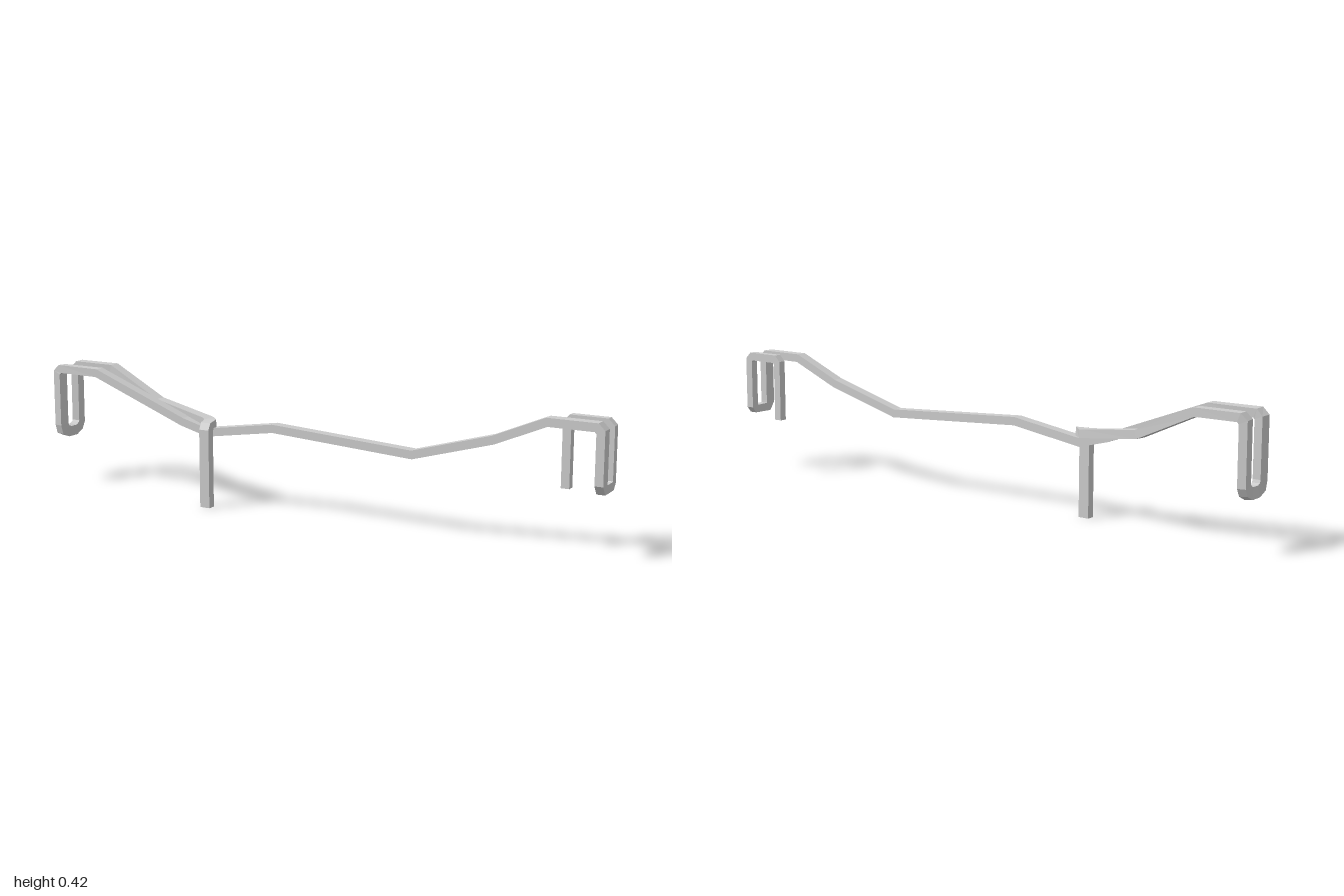
import * as THREE from 'three';

const V = (x, y, z) => new THREE.Vector3(x, y, z);
const THICK = 0.027, WIDE = 0.036;

// Sweeps a rectangular bar along points [x, y, z, width?] with mitred joints.
// "wide" is the direction of the wider side on the first segment.
function barGeometry(path, wide) {
  const p = path.map(([x, y, z]) => V(x, y, z));
  const dirs = p.slice(1).map((q, i) => q.clone().sub(p[i]).normalize());

  // Carry the wide axis through each bend, keeping gently sloped runs level
  const axes = [wide];
  for (let i = 1; i < dirs.length; i++) {
    const d = dirs[i];
    const turn = new THREE.Quaternion().setFromUnitVectors(dirs[i - 1], d);
    let u = axes[i - 1].clone().applyQuaternion(turn);
    if (Math.abs(u.y) < 0.3 && Math.abs(d.y) < 0.6) {
      const level = V(d.z, 0, -d.x).normalize();
      u = level.multiplyScalar(Math.sign(level.dot(u)));
    }
    axes.push(u);
  }

  // One ring of four corners at each point, lying in the mitre plane
  const rings = p.map((point, i) => {
    const a = Math.max(i - 1, 0), b = Math.min(i, dirs.length - 1);
    const normal = dirs[a].clone().add(dirs[b]).normalize();
    const w = (path[i][3] ?? WIDE) / 2, t = THICK / 2;
    return [[-1, -1], [1, -1], [1, 1], [-1, 1]].map(([s, r]) => {
      const corner = V(0, 0, 0);
      for (const k of [a, b]) {
        const v = dirs[k].clone().cross(axes[k]);
        const off = axes[k].clone().multiplyScalar(s * w).addScaledVector(v, r * t);
        off.addScaledVector(dirs[k], -off.dot(normal) / dirs[k].dot(normal));
        corner.addScaledVector(off, 0.5);
      }
      return corner.add(point);
    });
  });

  const pos = [];
  const quad = (a, b, c, d) => [a, b, c, a, c, d].forEach(q => pos.push(q.x, q.y, q.z));
  for (let i = 0; i + 1 < rings.length; i++) {
    for (let k = 0; k < 4; k++) {
      const n = (k + 1) % 4;
      quad(rings[i][k], rings[i][n], rings[i + 1][n], rings[i + 1][k]);
    }
  }
  const [s, e] = [rings[0], rings[rings.length - 1]];
  quad(s[3], s[2], s[1], s[0]);
  quad(e[0], e[1], e[2], e[3]);
  const geo = new THREE.BufferGeometry();
  geo.setAttribute('position', new THREE.Float32BufferAttribute(pos, 3));
  geo.computeVertexNormals();
  return geo;
}

export function createModel() {
  const group = new THREE.Group();
  group.name = 'bentBar';

  // Upright leg, hooking over into the rear arm
  const leg = [
    [-0.363, 0, 0.0665], [-0.363, 0.258, 0.0665], [-0.363, 0.272, 0.059],
    [-0.363, 0.277, 0.04], [-0.388, 0.278, 0.017],
  ];
  const rearArm = [
    [-0.62, 0.311, -0.036], [-0.83, 0.405, -0.065], [-0.974, 0.405, -0.065],
    [-0.987, 0.392, -0.063],
  ];
  // U-shaped loop at the right end
  const rightLoop = [
    [-0.987, 0.205, -0.062], [-0.987, 0.19, -0.054], [-0.987, 0.18, -0.033],
    [-0.987, 0.18, 0.003], [-0.987, 0.19, 0.026], [-0.987, 0.21, 0.032],
    [-0.987, 0.392, 0.032], [-0.974, 0.405, 0.032],
  ];
  // Wavy bar across the front
  const frontBar = [
    [-0.82, 0.405, 0.032], [-0.47, 0.273, 0.032], [-0.37, 0.247, 0.032],
    [-0.12, 0.286, 0.032], [0.38, 0.257, 0.032], [0.65, 0.333, 0.032],
    [0.82, 0.405, 0.032], [0.974, 0.405, 0.032],
  ];
  // U-shaped loop at the left end, narrowing towards its back
  const leftLoop = [
    [0.987, 0.392, 0.032], [0.987, 0.236, 0.032], [0.987, 0.217, 0.022, 0.028],
    [0.987, 0.217, -0.034, 0.026], [0.987, 0.228, -0.043, 0.025],
    [0.987, 0.392, -0.043, 0.025], [0.974, 0.405, -0.043, 0.025],
  ];
  // Short return with a hanging tip
  const tip = [
    [0.865, 0.405, -0.043, 0.025], [0.852, 0.392, -0.043, 0.025], [0.852, 0.192, -0.043, 0.025],
  ];

  const bar = new THREE.Mesh(
    barGeometry([...leg, ...rearArm, ...rightLoop, ...frontBar, ...leftLoop, ...tip], V(1, 0, 0)),
    new THREE.MeshStandardMaterial({ color: 0xcccccc, flatShading: true }),
  );
  bar.name = 'bar';
  group.add(bar);
  return group;
}
